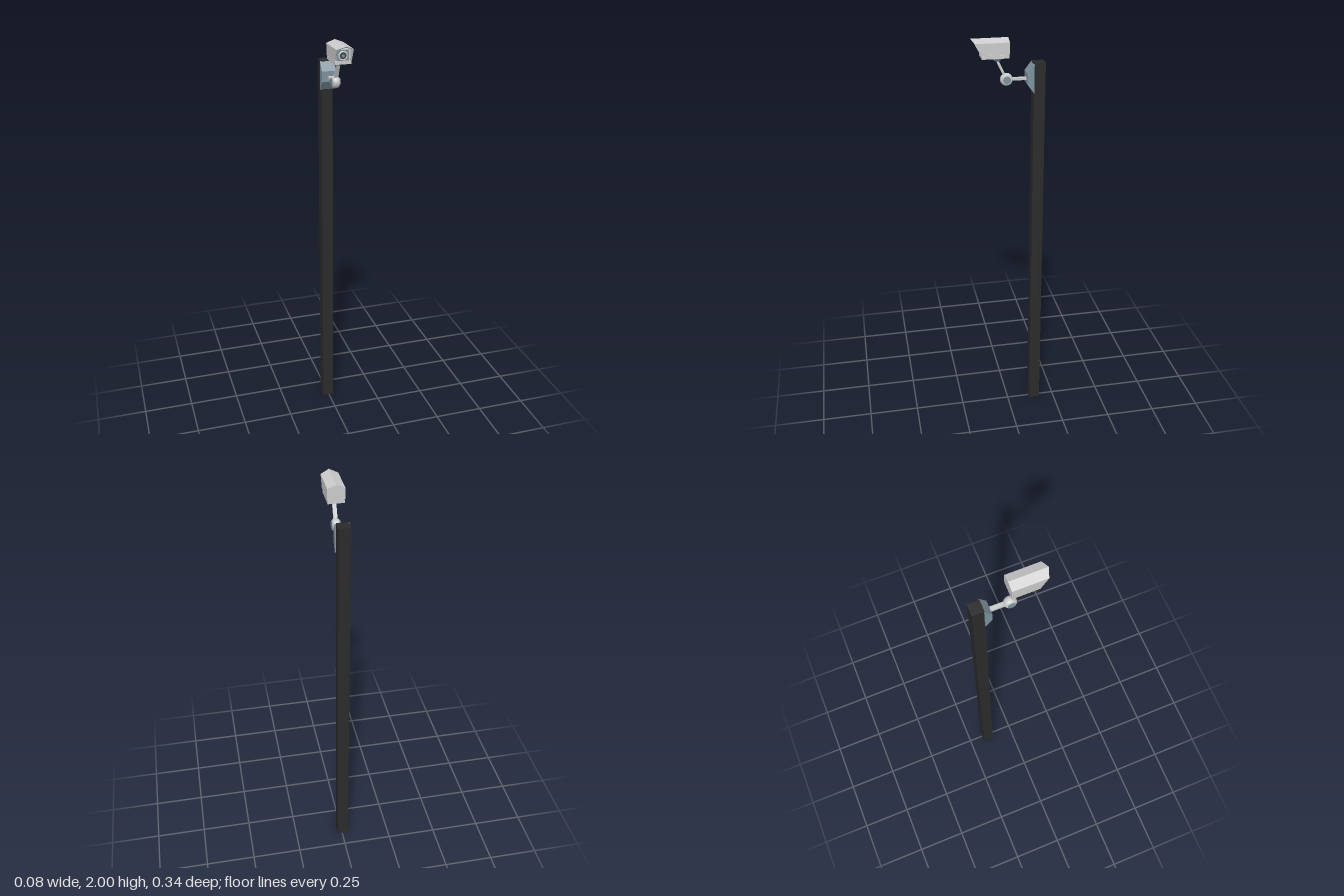
import * as THREE from 'three';

const mat = (color) => new THREE.MeshStandardMaterial({ color, side: THREE.DoubleSide });
const grey = mat(0xcccccc), black = mat(0x2b2b2b), slate = mat(0x7d929e), dark = mat(0x3a4044);
const flatGrey = grey.clone();
flatGrey.flatShading = true;

export function createModel() {
  const model = new THREE.Group();
  const add = (name, geometry, material, x = 0, y = 0, z = 0, parent = model) => {
    const mesh = new THREE.Mesh(geometry, material);
    mesh.name = name;
    mesh.position.set(x, y, z);
    parent.add(mesh);
    return mesh;
  };
  const box = (w, h, d) => new THREE.BoxGeometry(w, h, d);
  // Disc, rod or dome turned about z
  const disc = (r0, r1, len, n = 20) => new THREE.CylinderGeometry(r0, r1, len, n).rotateX(Math.PI / 2);

  // Square pole
  add('pole', box(0.056, 1.88, 0.055), black, -0.004, 0.94, -0.1445);

  // Wall bracket: side profile (z, y) extruded across x
  const profile = new THREE.Shape([[-0.119, 1.74], [-0.086, 1.785], [-0.086, 1.835], [-0.119, 1.878]]
    .map(([z, y]) => new THREE.Vector2(-z, y)));
  const bracket = new THREE.ExtrudeGeometry(profile, { depth: 0.067, bevelEnabled: false });
  bracket.rotateY(Math.PI / 2);
  add('bracket', bracket, slate, -0.0375, 0, 0);

  // Horizontal arm and slanted arm
  add('lowerArm', box(0.02, 0.011, 0.09), grey, 0, 1.807, -0.042);
  const from = new THREE.Vector3(0, 1.807, 0.006), to = new THREE.Vector3(0, 1.9, 0.05);
  const upper = add('upperArm', box(0.018, from.distanceTo(to), 0.011), grey);
  upper.position.copy(from).lerp(to, 0.5);
  upper.rotation.x = Math.atan2(to.z - from.z, to.y - from.y);

  // Elbow joint: rounded drum about the x axis with coloured caps
  const drum = new THREE.LatheGeometry([[0, -0.018], [0.02, -0.018], [0.026, -0.013], [0.029, -0.005],
    [0.029, 0.005], [0.026, 0.013], [0.02, 0.018], [0, 0.018]].map(([r, y]) => new THREE.Vector2(r, y)), 24);
  add('elbowJoint', drum.rotateZ(Math.PI / 2), grey, 0, 1.807, 0.006);
  for (const s of [-1, 1]) {
    const cap = new THREE.CylinderGeometry(0.018, 0.018, 0.003, 20).rotateZ(Math.PI / 2);
    add('jointCap', cap, slate, s * 0.019, 1.807, 0.006);
  }

  // Dome under the camera
  const dome = new THREE.SphereGeometry(0.023, 20, 8, 0, Math.PI * 2, Math.PI / 2, Math.PI / 2);
  add('cameraMount', dome, slate, 0, 1.914, 0.048);

  const camera = new THREE.Group();
  camera.name = 'camera';
  model.add(camera);

  // Gabled hood: an inverted U, its front edge raked and its ridge drawn forward
  const hoodShape = new THREE.Shape([[-0.04, 1.932], [-0.04, 1.985], [0, 2], [0.04, 1.985], [0.04, 1.932],
    [0.036, 1.932], [0.036, 1.981], [0, 1.995], [-0.036, 1.981], [-0.036, 1.932]]
    .map(([x, y]) => new THREE.Vector2(x, y)));
  const hood = new THREE.ExtrudeGeometry(hoodShape, { depth: 0.158, bevelEnabled: false });
  const p = hood.attributes.position;
  for (let i = 0; i < p.count; i++) {
    const rise = p.getY(i) - 1.985;
    if (p.getZ(i) > 0.1) p.setZ(i, p.getZ(i) + rise * (rise > 0 ? 0.93 : 0.52));
  }
  hood.computeVertexNormals();
  add('hood', hood, flatGrey, 0, 0, -0.003, camera);

  // Housing, base tray and gabled back panel
  add('housing', box(0.07, 0.06, 0.118), grey, 0, 1.949, 0.06, camera);
  add('baseTray', box(0.076, 0.016, 0.126), grey, 0, 1.921, 0.061, camera);
  const back = new THREE.Shape([[-0.037, 1.92], [0.037, 1.92], [0.037, 1.983], [0, 1.997], [-0.037, 1.983]]
    .map(([x, y]) => new THREE.Vector2(x, y)));
  add('backPanel', new THREE.ExtrudeGeometry(back, { depth: 0.004, bevelEnabled: false }), grey, 0, 0, -0.002, camera);

  // Lens with surrounding ring
  add('lensPlate', box(0.056, 0.05, 0.004), slate, 0, 1.951, 0.12, camera);
  add('lensRing', new THREE.TorusGeometry(0.018, 0.004, 8, 24), grey, 0, 1.951, 0.123, camera);
  add('lens', disc(0.015, 0.015, 0.006), dark, 0, 1.951, 0.122, camera);
  add('lensCore', disc(0.007, 0.007, 0.003), slate, 0, 1.951, 0.126, camera);

  return model;
}
